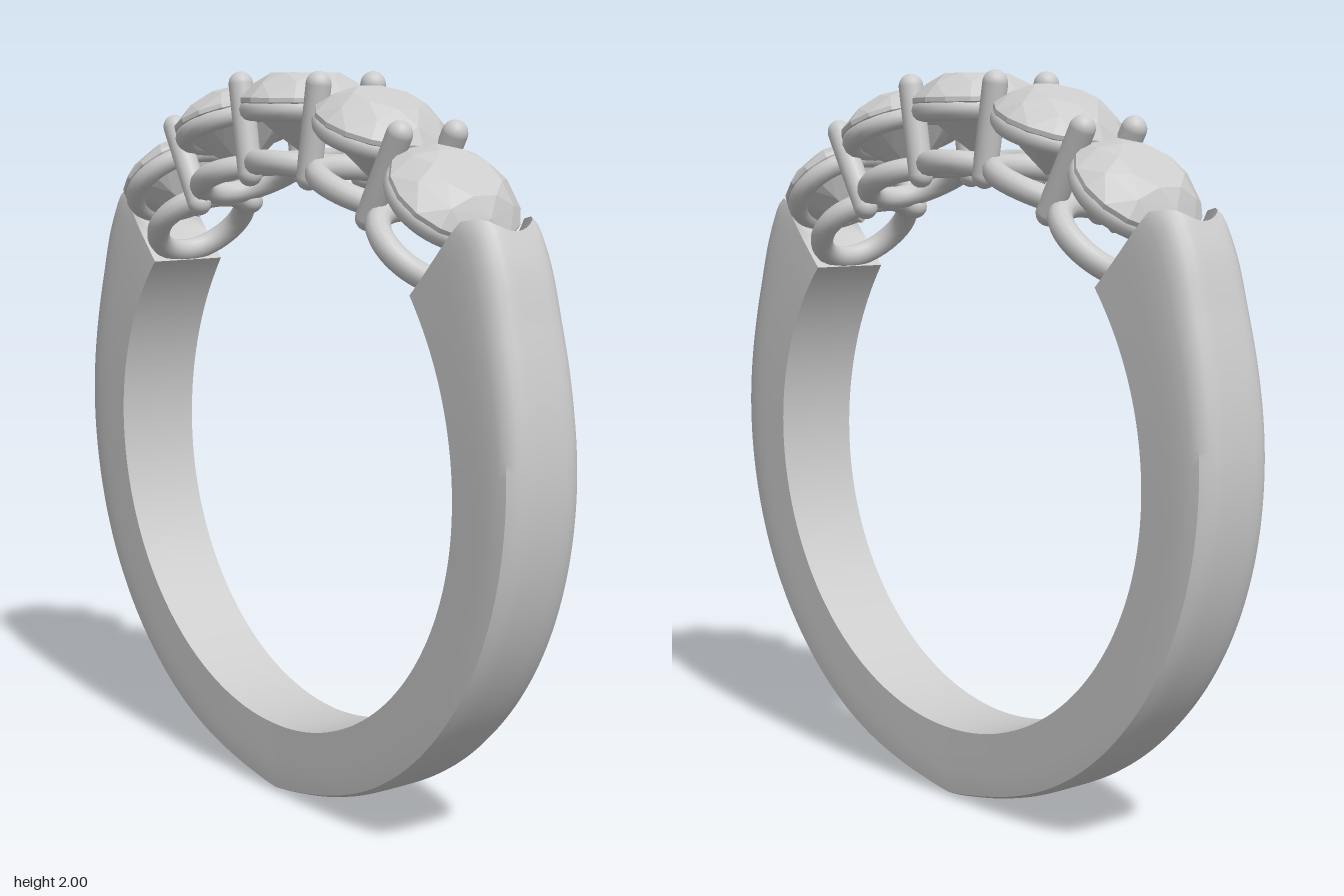
import * as THREE from 'three';
import { toCreasedNormals } from 'three/addons/utils/BufferGeometryUtils.js';
import { ConvexGeometry } from 'three/addons/geometries/ConvexGeometry.js';

const CENTRE_Y = 0.965; // centre of the finger hole
const DEG = Math.PI / 180;

export function createModel() {
  const model = new THREE.Group();
  const ring = new THREE.Group();
  ring.name = 'ring';
  ring.position.y = CENTRE_Y;
  model.add(ring);

  const metal = new THREE.MeshStandardMaterial({ color: 0xcccccc });
  const facet = new THREE.MeshStandardMaterial({ color: 0xcccccc, flatShading: true });
  const add = (parent, name, geometry, material = metal) => {
    const mesh = new THREE.Mesh(geometry, material);
    mesh.name = name;
    parent.add(mesh);
    return mesh;
  };

  add(ring, 'band', bandGeometry());

  // Five stones, each with a rail under its girdle and a curved rail below
  const stoneGeo = stoneGeometry();
  const railGeo = new THREE.TorusGeometry(0.153, 0.03, 12, 48).rotateX(Math.PI / 2);
  for (let i = -2; i <= 2; i++) {
    const angle = i * 20 * DEG; // clockwise from the top
    const setting = new THREE.Group();
    setting.name = 'setting';
    setting.rotation.z = -angle;
    ring.add(setting);
    const stone = add(setting, 'stone', stoneGeo, facet);
    stone.position.y = 0.963;
    stone.scale.x = 0.95;
    const rail = add(setting, 'upperRail', railGeo);
    rail.position.y = 0.937;
    rail.scale.x = 0.95;
    add(setting, 'lowerRail', bentRailGeometry(0.8, 0.135, 0.033));
  }

  // Pairs of round-tipped prongs between the stones
  const prongGeo = new THREE.CapsuleGeometry(0.034, 0.245, 8, 16);
  for (const deg of [-30, -10, 10, 30]) {
    const pair = new THREE.Group();
    pair.name = 'prongPair';
    pair.rotation.z = -deg * DEG;
    ring.add(pair);
    for (const side of [-1, 1]) {
      add(pair, 'prong', prongGeo).position.set(0, 0.897, side * 0.09);
    }
  }
  return model;
}

// Band: a box bent around the finger hole, thicker at the shoulders, ends scooped for the outer stones
function bandGeometry() {
  const outer = new THREE.CubicInterpolant(
    [45, 47.5, 50, 54, 65, 90, 120, 150, 172, 180],
    [1.02, 1.05, 1.073, 1.065, 1.018, 0.973, 0.95, 0.95, 0.953, 0.965], 1);
  const width = new THREE.CubicInterpolant([45, 55, 75, 110, 180], [0.112, 0.12, 0.125, 0.12, 0.11], 1);
  const geo = new THREE.BoxGeometry(1, 1, 2, 8, 180, 12);
  const pos = geo.attributes.position;
  for (let i = 0; i < pos.count; i++) {
    const u = pos.getX(i) + 0.5; // 0 inside, 1 outside
    const s = pos.getY(i) + 0.5; // along the band
    const v = pos.getZ(i); // across the band
    const scoop = 4 * (1 - v * v) * THREE.MathUtils.smoothstep(u, 0.2, 0.7);
    const end = 48 + 2 * (1 - u) + scoop;
    const theta = end + (360 - 2 * end) * s;
    const fromTop = Math.min(theta, 360 - theta);
    const rOut = outer.evaluate(fromTop)[0];
    const halfWidth = width.evaluate(fromTop)[0];
    const shoulder = 1 - THREE.MathUtils.smoothstep(fromTop, 50, 130);
    const round = (0.012 + 0.025 * shoulder) * v ** 6;
    const r = THREE.MathUtils.lerp(0.765, rOut - round, u);
    const z = v * halfWidth * (1 - (0.03 + 0.07 * shoulder) * u ** 6);
    const phi = (90 + theta) * DEG;
    pos.setXYZ(i, r * Math.cos(phi), r * Math.sin(phi), z);
  }
  return toCreasedNormals(geo, 0.6);
}

// Brilliant-cut stone: the hull of its table, crown, girdle, pavilion and culet
function stoneGeometry() {
  const points = [new THREE.Vector3(0, -0.15, 0)];
  const loop = (n, r, y, offset) => {
    for (let k = 0; k < n; k++) {
      const a = (k + offset) * 2 * Math.PI / n;
      points.push(new THREE.Vector3(r * Math.cos(a), y, r * Math.sin(a)));
    }
  };
  loop(8, 0.095, 0.072, 0.5);
  loop(8, 0.143, 0.045, 0);
  loop(16, 0.182, 0.006, 0);
  loop(16, 0.182, -0.006, 0);
  loop(8, 0.09, -0.085, 0.5);
  return new ConvexGeometry(points);
}

// Round rail wrapped over the finger hole
function bentRailGeometry(radius, size, tube) {
  const points = [];
  for (let k = 0; k < 24; k++) {
    const t = k / 24 * 2 * Math.PI;
    const d = size * Math.cos(t) / radius;
    points.push(new THREE.Vector3(radius * Math.sin(d), radius * Math.cos(d), size * Math.sin(t)));
  }
  return new THREE.TubeGeometry(new THREE.CatmullRomCurve3(points, true), 48, tube, 12, true);
}
